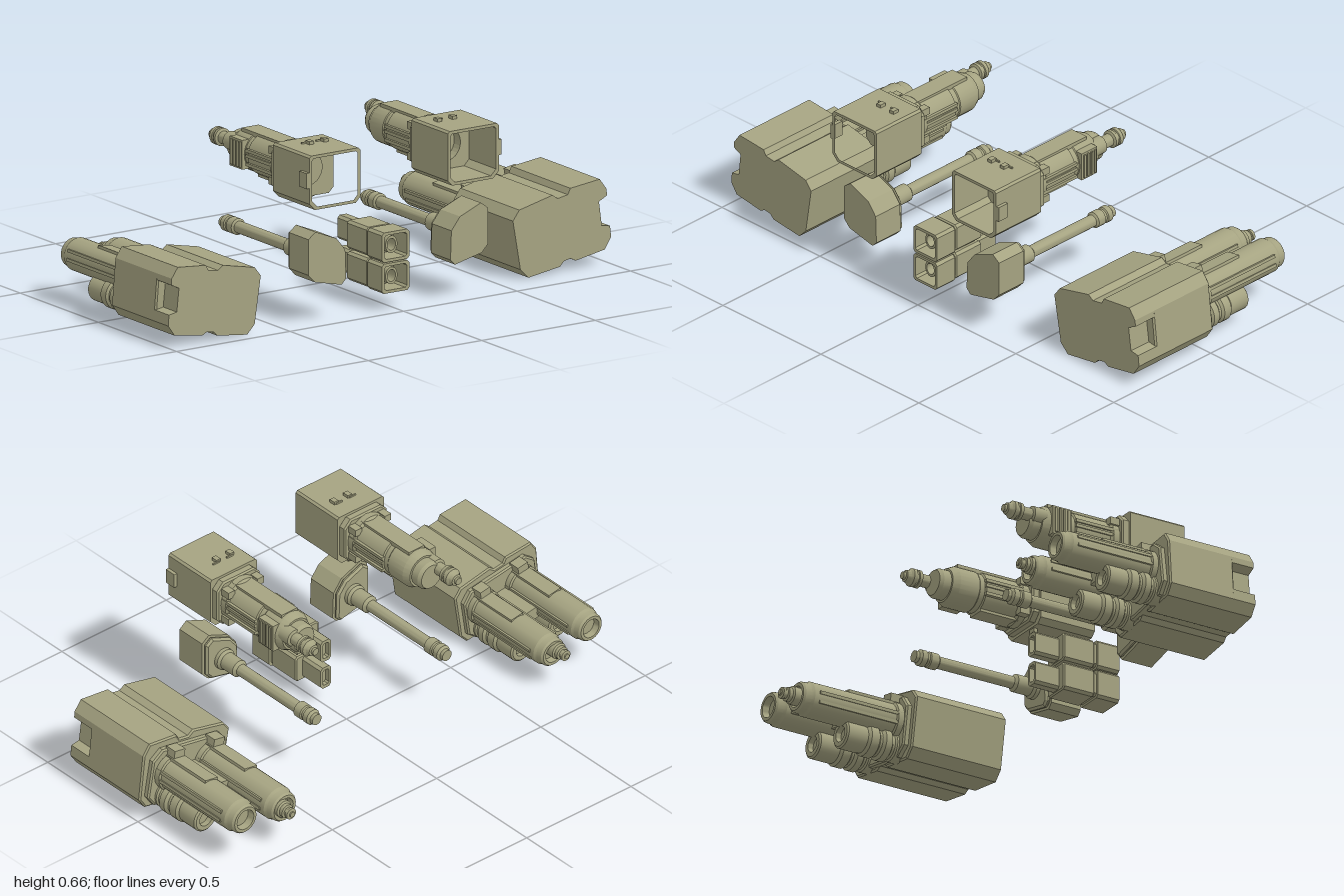
import * as THREE from 'three';
import { toCreasedNormals } from 'three/addons/utils/BufferGeometryUtils.js';

const olive = new THREE.MeshStandardMaterial({ color: 0xa5a381 });
const MID = -0.006; // mirror plane of the whole kit

function add(parent, name, geo, x = 0, y = 0, z = 0) {
  const mesh = new THREE.Mesh(geo, olive);
  mesh.name = name;
  mesh.position.set(x, y, z);
  parent.add(mesh);
  return mesh;
}

function group(parent, name, x = 0, y = 0, z = 0) {
  const g = new THREE.Group();
  g.name = name;
  g.position.set(x, y, z);
  parent.add(g);
  return g;
}

// box given by its centre and size
const block = (parent, name, x, y, z, w, h, d) =>
  add(parent, name, new THREE.BoxGeometry(w, h, d), x, y, z);

// outline [x, y] extruded from z0 (back) to z1 (front), with optional bevel and hole
function slab(parent, name, pts, z0, z1, { hole = null, bevel = 0, s = 1 } = {}) {
  const vec = (list) => list.map(([x, y]) => new THREE.Vector2(x * s, y));
  const shape = new THREE.Shape(vec(pts));
  if (hole) shape.holes.push(new THREE.Path(vec(hole)));
  const geo = new THREE.ExtrudeGeometry(shape, {
    depth: z1 - z0 - 2 * bevel, bevelEnabled: bevel > 0, bevelThickness: bevel,
    bevelSize: bevel, bevelOffset: -bevel, bevelSegments: 1, curveSegments: 24,
  });
  return add(parent, name, geo, 0, 0, z0 + bevel);
}

// turned part along z; profile [radius, z] runs from front to back
function turned(parent, name, profile, x = 0, y = 0, sides = 28) {
  const lathe = new THREE.LatheGeometry(profile.map(([r, z]) => new THREE.Vector2(r, -z)), sides);
  lathe.rotateX(-Math.PI / 2);
  return add(parent, name, toCreasedNormals(lathe, 0.5), x, y);
}

// rectangle outline with cut corners
function cutRect(w, h, c, cx = 0, cy = 0) {
  const a = w / 2, b = h / 2;
  return [[-a + c, -b], [a - c, -b], [a, -b + c], [a, b - c], [a - c, b], [-a + c, b], [-a, b - c], [-a, -b + c]]
    .map(([x, y]) => [x + cx, y + cy]);
}

const circle = (r, cx = 0, cy = 0) => Array.from({ length: 28 }, (_, i) => {
  const t = (i / 28) * Math.PI * 2;
  return [cx + r * Math.cos(t), cy + r * Math.sin(t)];
});

// Large twin housing; z = 0 is its rear wall, s is the side it stands on
function twinHousing(root, s, x, y, z, tilt, scale) {
  const g = group(root, s > 0 ? 'leftTwinHousing' : 'rightTwinHousing', x, y, z);
  g.rotation.z = tilt * s;
  g.scale.setScalar(scale);
  const start = [[-0.17, 0.13], [-0.02, 0.138], [0, 0.118], [0.045, 0.118], [0.06, 0.138], [0.19, 0.13], [0.212, 0.085]];
  const end = [[0.2, -0.1], [0.165, -0.137], [0.035, -0.137], [0.015, -0.122], [-0.015, -0.122],
    [-0.035, -0.137], [-0.175, -0.133], [-0.204, -0.092], [-0.204, 0.098]];
  const grip = [[0.21, 0.06], [0.172, 0.048], [0.168, -0.045], [0.203, -0.057]];
  slab(g, 'housingRear', [...start, ...end], 0, 0.292, { s, bevel: 0.006 });
  slab(g, 'housingFrontWithGrip', [...start, ...grip, ...end], 0.285, 0.384, { s });
  slab(g, 'rearFlange', cutRect(0.36, 0.23, 0.04, 0, -0.01), -0.022, 0.01, { s, bevel: 0.006 });

  for (const u of [-0.1, 0.092]) {
    const bx = u * s;
    // upper barrel with a socket in its end
    turned(g, 'barrel', [[0, 0.01], [0.073, 0.01], [0.073, -0.045], [0.066, -0.05], [0.066, -0.4], [0.06, -0.41],
      [0.058, -0.434], [0.052, -0.442], [0.04, -0.442], [0.036, -0.415], [0, -0.415]], bx, 0.012);
    block(g, 'barrelRidge', bx, 0.072, -0.125, 0.06, 0.02, 0.23);
    for (const side of [-1, 1]) {
      block(g, 'barrelRail', bx + side * 0.064, 0.03, -0.2, 0.01, 0.012, 0.36);
      block(g, 'barrelRail', bx + side * 0.064, -0.005, -0.2, 0.01, 0.012, 0.36);
    }
    // lower ribbed sleeve
    turned(g, 'lowerSleeve', [[0, 0.01], [0.056, 0.01], [0.056, -0.03], [0.05, -0.036], [0.05, -0.046], [0.062, -0.054],
      [0.062, -0.08], [0.052, -0.09], [0.052, -0.1], [0.061, -0.108], [0.061, -0.142], [0.052, -0.152],
      [0.054, -0.165], [0.054, -0.236], [0.047, -0.242], [0.03, -0.242], [0.03, -0.22], [0, -0.22]], bx, -0.082);
    block(g, 'latch', bx, 0.098, -0.035, 0.05, 0.03, 0.05);
  }
  block(g, 'barrelBridge', 0, 0.0, -0.1, 0.1, 0.05, 0.2);
  // stepped pin standing out of the inner barrel
  turned(g, 'barrelPin', [[0, -0.4], [0.034, -0.4], [0.034, -0.455], [0.027, -0.46], [0.027, -0.474], [0.018, -0.476],
    [0.018, -0.484], [0.022, -0.486], [0.022, -0.496], [0.011, -0.498], [0.011, -0.503], [0, -0.503]], -0.083 * s, 0.018, 20);
}

// Square socket with a round stepped body behind it
function socketPlug(root, s) {
  const g = group(root, s > 0 ? 'leftSocketPlug' : 'rightSocketPlug', MID + s * 0.305, 0.563);
  const outer = [[-0.092, -0.103], [0.087, -0.103], [0.112, -0.078], [0.112, 0.094], [0.104, 0.102],
    [-0.104, 0.102], [-0.112, 0.094], [-0.112, -0.083]];
  const inner = outer.map(([x, y]) => [x * 0.89, y * 0.89]);
  slab(g, 'socketWalls', outer, 0.34, 0.512, { hole: inner, s });
  slab(g, 'socketFloor', outer, 0.3, 0.34, { hole: circle(0.062), s });
  slab(g, 'socketBack', outer, 0.28, 0.3, { s });
  block(g, 'sideTab', s * 0.117, 0.01, 0.488, 0.016, 0.058, 0.046);
  for (const x of [-0.055, 0.01]) {
    block(g, 'topCatch', s * x, 0.106, 0.365, 0.02, 0.016, 0.026);
    block(g, 'topCatchFoot', s * (x + 0.012), 0.104, 0.352, 0.03, 0.008, 0.006);
  }
  block(g, 'bottomCatch', s * -0.04, -0.108, 0.294, 0.03, 0.02, 0.016);

  slab(g, 'collar', cutRect(0.205, 0.185, 0.03), 0.25, 0.285, { bevel: 0.006 });
  turned(g, 'plugBody', [[0, 0.26], [0.088, 0.26], [0.088, 0.225], [0.08, 0.215], [0.08, 0.07], [0.074, 0.066], [0.074, 0.046],
    [0.077, 0.042], [0.077, -0.04], [0.064, -0.066], [0.056, -0.066], [0.056, -0.098], [0.048, -0.112], [0, -0.112]]);
  block(g, 'topRidge', 0, 0.07, 0.11, 0.075, 0.02, 0.28);
  block(g, 'bottomRidge', 0, -0.072, 0.15, 0.07, 0.02, 0.16);
  for (const side of [-1, 1]) {
    for (const y of [-0.03, 0.002, 0.022]) block(g, 'sideRail', side * 0.078, y, 0.16, 0.014, 0.012, 0.19);
    for (const y of [-0.058, 0.058]) block(g, 'collarFin', side * 0.07, y, 0.24, 0.03, 0.028, 0.06);
  }
  // vented panel on the outer side
  block(g, 'ventPanel', s * 0.07, 0, 0.003, 0.03, 0.11, 0.08);
  for (let i = 0; i < 4; i++) block(g, 'ventBar', s * 0.087, 0, 0.03 - i * 0.018, 0.008, 0.095, 0.009);
  // offset tip
  turned(g, 'tip', [[0, -0.05], [0.034, -0.05], [0.034, -0.102], [0.024, -0.106], [0.024, -0.146], [0.034, -0.15],
    [0.034, -0.162], [0.03, -0.164], [0.03, -0.17], [0.034, -0.172], [0.034, -0.186], [0.026, -0.194], [0.022, -0.208],
    [0.014, -0.21], [0.014, -0.22], [0, -0.22]], s * 0.038, 0.018, 20);
}

// Faceted block on a slender rod
function rodPlug(root, s) {
  const g = group(root, s > 0 ? 'leftRodPlug' : 'rightRodPlug', MID);
  const face = [[0.25, 0.15], [0.368, 0.177], [0.396, 0.207], [0.396, 0.341], [0.364, 0.365],
    [0.272, 0.327], [0.234, 0.279], [0.23, 0.17]];
  slab(g, 'facetedBlock', face, 0.35, 0.475, { s });
  // rear chamfer
  const back = face.map(([x, y]) => [0.314 + (x - 0.314) * 0.93, 0.255 + (y - 0.255) * 0.93]);
  slab(g, 'blockBack', back, 0.33, 0.352, { s, bevel: 0.008 });
  turned(g, 'rod', [[0, 0.34], [0.042, 0.34], [0.042, 0.315], [0.034, 0.305], [0.034, 0.24], [0.023, 0.23], [0.023, -0.09],
    [0.031, -0.096], [0.031, -0.13], [0.026, -0.134], [0.026, -0.142], [0.031, -0.146], [0.031, -0.168],
    [0.022, -0.176], [0.022, -0.19], [0, -0.19]], s * 0.312, 0.252, 20);
}

// Small stacked connector with a hollow front and a narrow tongue behind
function smallConnector(root, y) {
  const g = group(root, 'smallConnector', -0.005, y);
  slab(g, 'frontFrame', cutRect(0.122, 0.112, 0.01), 0.365, 0.457, { hole: cutRect(0.1, 0.09, 0.008) });
  slab(g, 'seam', cutRect(0.104, 0.096, 0.01), 0.35, 0.37);
  slab(g, 'rearBox', cutRect(0.112, 0.108, 0.01), 0.222, 0.355, { bevel: 0.005 });
  slab(g, 'pinSleeve', circle(0.026), 0.365, 0.43, { hole: circle(0.018) }).scale.y = 1.25;
  slab(g, 'tongue', cutRect(0.05, 0.09, 0.01), 0.14, 0.23);
  slab(g, 'tongueEnd', cutRect(0.05, 0.09, 0.01), 0.12, 0.14, { hole: cutRect(0.03, 0.065, 0.006) });
}

export function createModel() {
  const root = new THREE.Group();
  root.name = 'connectorKit';
  twinHousing(root, 1, 0.788, 0.18, -0.012, 0.175, 1);
  twinHousing(root, -1, -0.8, 0.167, 0.085, 0.15, 0.95);
  for (const s of [1, -1]) {
    socketPlug(root, s);
    rodPlug(root, s);
  }
  for (const y of [0.137, 0.254]) smallConnector(root, y);
  return root;
}
